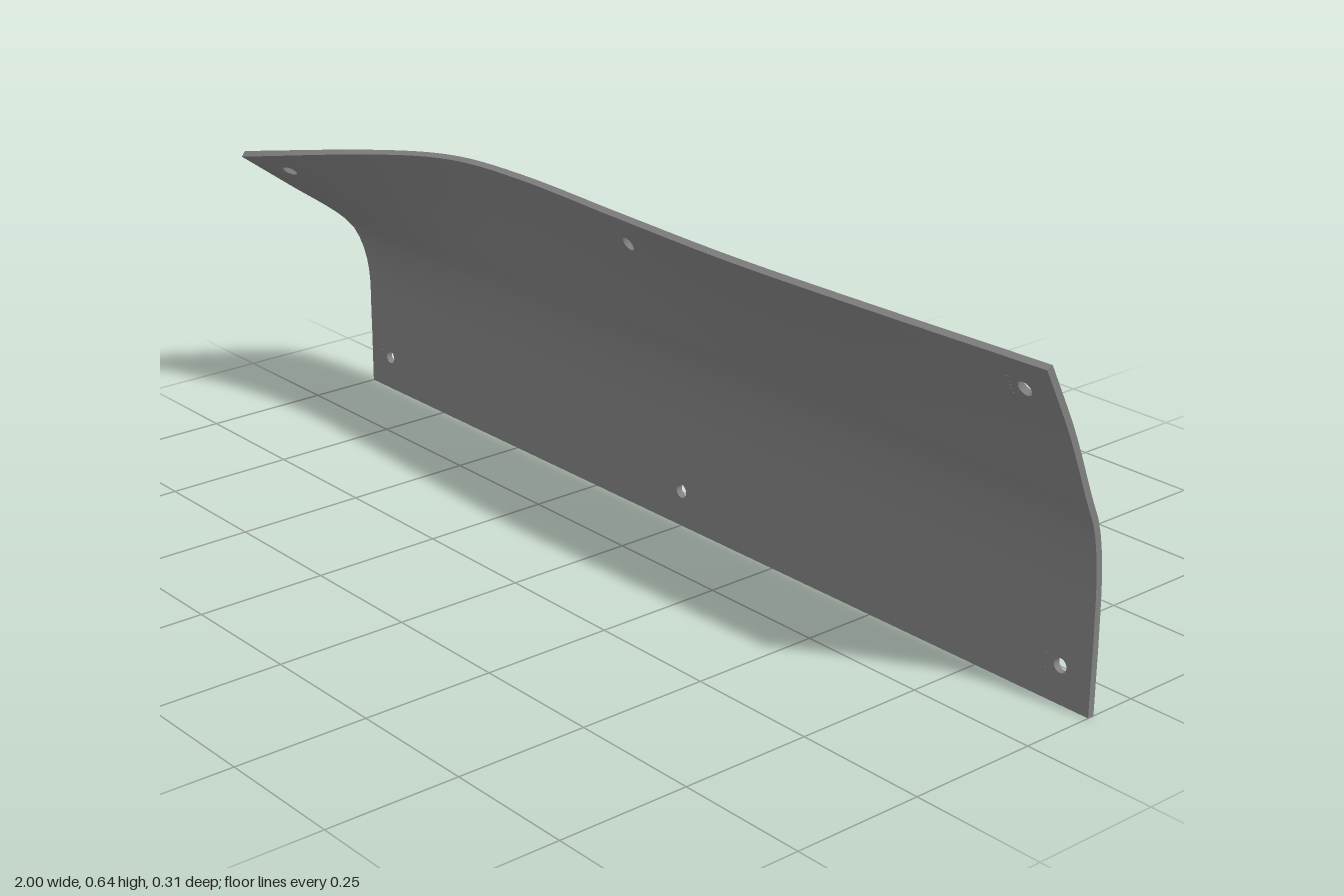
import * as THREE from 'three';

const HALF = 0.0065; // half the sheet thickness
const HOLE_R = 0.0135;
const HOLE_U = [-0.935, 0, 0.935];
const HOLE_V = [0.07, 0.585];

// Smooth curve through the points (xs, ys), evaluated at x
function smooth(xs, ys, x) {
  const n = xs.length;
  let i = 0;
  while (i < n - 2 && x > xs[i + 1]) i++;
  const slope = (k) => {
    const a = Math.max(k - 1, 0), b = Math.min(k + 1, n - 1);
    return (ys[b] - ys[a]) / (xs[b] - xs[a]);
  };
  const h = xs[i + 1] - xs[i], t = (x - xs[i]) / h, t2 = t * t, t3 = t2 * t;
  return (2 * t3 - 3 * t2 + 1) * ys[i] + (t3 - 2 * t2 + t) * h * slope(i)
    + (3 * t2 - 2 * t3) * ys[i + 1] + (t3 - t2) * h * slope(i + 1);
}

// Top edge along the length: flared forward and lowered at the -x end
const EDGE_X = [-1, -0.7, -0.5, -0.3, 0, 0.3, 0.6, 1];
const EDGE_Z = [0.152, 0.044, 0.005, -0.002, 0.011, 0.022, 0.016, 0.001];
const EDGE_Y = [0.557, 0.607, 0.634, 0.641, 0.641, 0.641, 0.641, 0.641];
const ROWS = [0, 0.15, 0.26, 0.34, 0.39, 0.52, 0.64];

// Middle of the sheet at length u and nominal height v
function mid(u, v) {
  const f = THREE.MathUtils.smoothstep(-u, 0.5, 1);
  const topZ = smooth(EDGE_X, EDGE_Z, u), topY = smooth(EDGE_X, EDGE_Y, u);
  const kneeZ = -0.113 + 0.032 * f, kneeY = 0.39 - 0.003 * f;
  const ys = [0, 0.15, 0.26, 0.34, kneeY, kneeY + 0.52 * (topY - kneeY), topY];
  const zs = [-0.1505, -0.1505, -0.147, -0.134 + 0.013 * f, kneeZ,
    kneeZ + 0.52 * (topZ - kneeZ) - 0.006 * (1 - f), topZ];
  return new THREE.Vector3(u, smooth(ROWS, ys, v), smooth(ROWS, zs, v));
}

// Front and back surface points with their shared normal
function sample([u, v]) {
  const e = 0.002;
  const du = mid(u + e, v).sub(mid(u - e, v)), dv = mid(u, v + e).sub(mid(u, v - e));
  const normal = du.cross(dv).normalize();
  const offset = new THREE.Vector3(0, normal.y, normal.z).normalize().multiplyScalar(HALF);
  const m = mid(u, v);
  return { front: m.clone().add(offset), back: m.clone().sub(offset), normal };
}

// Grid lines that leave a small square cell around every hole
function gridLines(start, end, centres, half, step) {
  const stops = [start, ...centres.flatMap((c) => [c - half, c + half]), end];
  const lines = [start];
  for (let i = 1; i < stops.length; i++) {
    const n = i % 2 === 0 ? 1 : Math.max(1, Math.round((stops[i] - stops[i - 1]) / step));
    for (let k = 1; k <= n; k++) lines.push(stops[i - 1] + (stops[i] - stops[i - 1]) * k / n);
  }
  return lines;
}

export function createModel() {
  const steel = new THREE.MeshStandardMaterial({ color: 0x808080 });
  steel.name = 'grey steel';
  const pos = [], nor = [];

  const tri = (pts, normals) => pts.forEach((p, i) => {
    pos.push(p.x, p.y, p.z);
    nor.push(normals[i].x, normals[i].y, normals[i].z);
  });
  const quad = (p, n) => {
    tri([p[0], p[1], p[2]], [n[0], n[1], n[2]]);
    tri([p[0], p[2], p[3]], [n[0], n[2], n[3]]);
  };
  // One patch on both sides of the sheet
  const patch = (corners) => {
    const s = corners.map(sample);
    quad(s.map((c) => c.front), s.map((c) => c.normal));
    const r = s.slice().reverse();
    quad(r.map((c) => c.back), r.map((c) => c.normal.clone().negate()));
  };
  // Edge wall between front and back
  const wall = (p, q) => {
    const a = sample(p), b = sample(q);
    const n = b.back.clone().sub(a.back).cross(b.front.clone().sub(a.back)).normalize();
    quad([a.back, b.back, b.front, a.front], [n, n, n, n]);
  };

  const us = gridLines(-1, 1, HOLE_U, 0.03, 0.035);
  const vs = gridLines(0, 0.64, HOLE_V, 0.03, 0.025);
  const nu = us.length - 1, nv = vs.length - 1;

  // Curved sheet, with a ring of patches around each bolt hole
  for (let i = 0; i < nu; i++) {
    for (let j = 0; j < nv; j++) {
      const cu = (us[i] + us[i + 1]) / 2, cv = (vs[j] + vs[j + 1]) / 2;
      const isHole = HOLE_U.some((h) => Math.abs(h - cu) < 0.002)
        && HOLE_V.some((h) => Math.abs(h - cv) < 0.002);
      if (!isHole) {
        patch([[us[i], vs[j]], [us[i + 1], vs[j]], [us[i + 1], vs[j + 1]], [us[i], vs[j + 1]]]);
        continue;
      }
      const hu = (us[i + 1] - us[i]) / 2, hv = (vs[j + 1] - vs[j]) / 2;
      const ring = (k) => {
        const a = k * Math.PI / 8, c = Math.cos(a), s = Math.sin(a);
        const m = Math.max(Math.abs(c), Math.abs(s));
        return { inner: [cu + HOLE_R * c, cv + HOLE_R * s], outer: [cu + hu * c / m, cv + hv * s / m] };
      };
      for (let k = 0; k < 16; k++) {
        const a = ring(k), b = ring(k + 1);
        patch([a.inner, a.outer, b.outer, b.inner]);
        wall(b.inner, a.inner);
      }
    }
  }

  // Outer rim
  for (let i = 0; i < nu; i++) {
    wall([us[i], 0], [us[i + 1], 0]);
    wall([us[i + 1], 0.64], [us[i], 0.64]);
  }
  for (let j = 0; j < nv; j++) {
    wall([1, vs[j]], [1, vs[j + 1]]);
    wall([-1, vs[j + 1]], [-1, vs[j]]);
  }

  const geometry = new THREE.BufferGeometry();
  geometry.setAttribute('position', new THREE.Float32BufferAttribute(pos, 3));
  geometry.setAttribute('normal', new THREE.Float32BufferAttribute(nor, 3));
  const blade = new THREE.Mesh(geometry, steel);
  blade.name = 'curvedBlade';

  const group = new THREE.Group();
  group.name = 'bladePanel';
  group.add(blade);
  return group;
}
